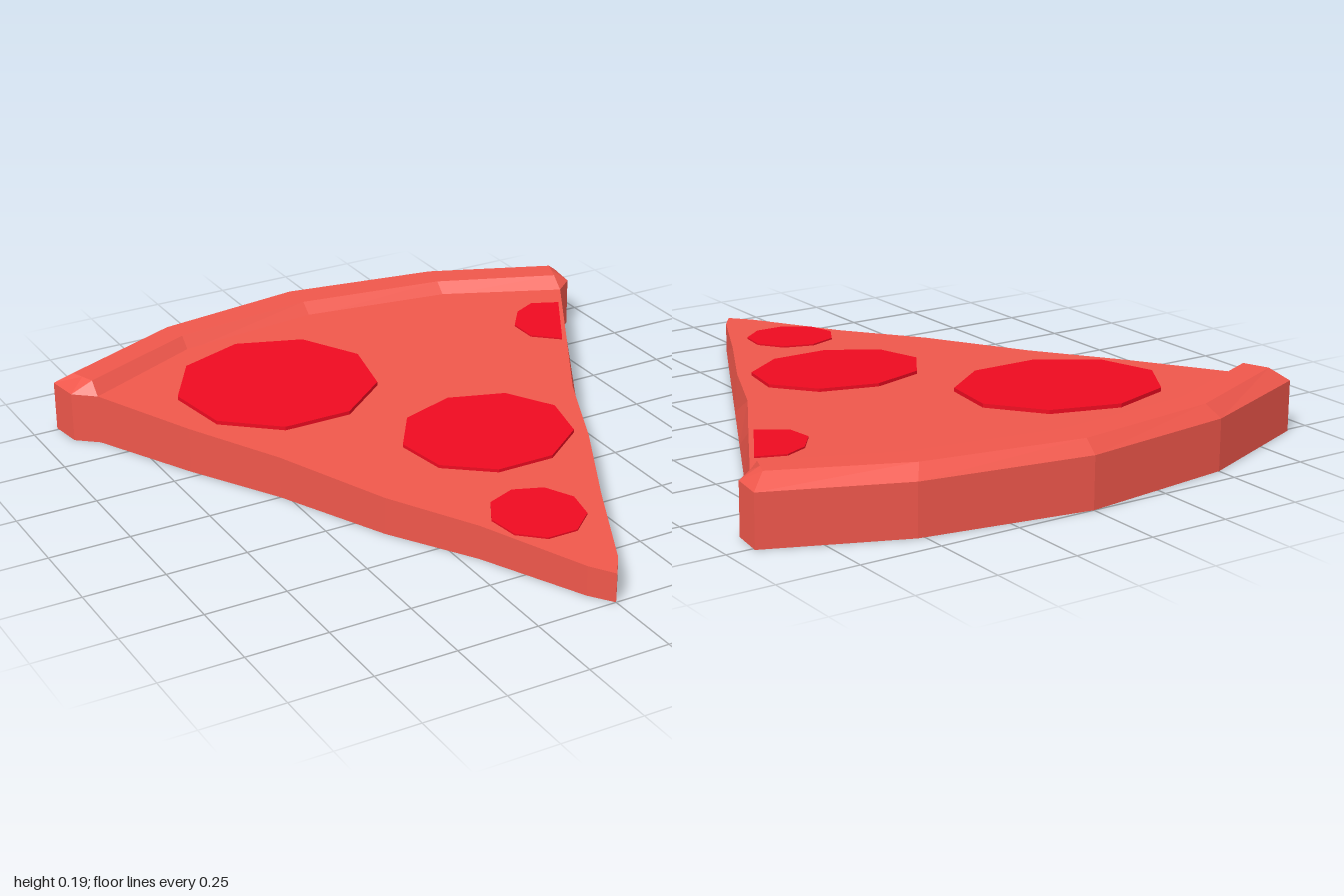
import * as THREE from 'three';

const doughMat = new THREE.MeshStandardMaterial({ color: 0xef574b, flatShading: true });
const toppingMat = new THREE.MeshStandardMaterial({ color: 0xee0a20, flatShading: true });

// Height of the gently sloping slice surface
const surfaceY = (z) => 0.132 - 0.042 * z;

// Closed solid from stacked rings of [x, y, z], each counterclockwise from above
function loft(name, rings, material) {
  const pos = [];
  const tri = (a, b, c) => pos.push(...a, ...b, ...c);
  const n = rings[0].length;
  for (let r = 0; r < rings.length - 1; r++) {
    for (let i = 0; i < n; i++) {
      const j = (i + 1) % n, lo = rings[r], hi = rings[r + 1];
      tri(lo[i], lo[j], hi[j]);
      tri(lo[i], hi[j], hi[i]);
    }
  }
  const cap = (ring, up) => {
    const flat = ring.map(([x, , z]) => new THREE.Vector2(x, -z));
    for (const [a, b, c] of THREE.ShapeUtils.triangulateShape(flat, [])) {
      if (up) tri(ring[a], ring[b], ring[c]);
      else tri(ring[a], ring[c], ring[b]);
    }
  };
  cap(rings[0], false);
  cap(rings[rings.length - 1], true);
  const geo = new THREE.BufferGeometry();
  geo.setAttribute('position', new THREE.Float32BufferAttribute(pos, 3));
  geo.computeVertexNormals();
  const mesh = new THREE.Mesh(geo, material);
  mesh.name = name;
  return mesh;
}

const atY = (pts, y) => pts.map(([x, z]) => [x, y, z]);
const onSurface = (pts, lift) => pts.map(([x, z]) => [x, surfaceY(z) + lift, z]);

export function createModel() {
  const group = new THREE.Group();
  group.name = 'pizzaSlice';

  // Wedge: left edge to the tip, right edge back, then along the crust
  const left = [[-0.84, -0.6], [-0.68, -0.28], [-0.52, 0], [-0.36, 0.35], [-0.2, 0.61], [-0.05, 0.93]];
  const right = [[0, 1], [0.05, 0.93], [0.2, 0.62], [0.36, 0.31], [0.49, 0.02], [0.66, -0.28], [0.84, -0.6]];
  const back = [[0.47, -0.75], [0, -0.815], [-0.46, -0.77]];
  // The lower right edge runs straight, a little outside the top edge
  const rightLow = right.map(([x, z], i) =>
    i < 2 ? [x, z] : [0.84 - 0.516 * (z + 0.6), z]);
  group.add(loft('slice', [
    atY([...left, ...rightLow, ...back], 0),
    onSurface([...left, ...right, ...back], 0),
  ], doughMat));

  // Crust: outer line right to left, left end, inner line left to right, right end
  const crustFoot = [
    [0.92, -0.76], [0.52, -0.92], [0, -1], [-0.5, -0.935], [-0.92, -0.76], [-0.905, -0.655],
    [-0.84, -0.6], [-0.46, -0.77], [0, -0.815], [0.47, -0.75], [0.84, -0.6], [0.905, -0.655],
  ];
  const crustTop = [
    [0.87, -0.72], [0.49, -0.88], [0, -0.96], [-0.475, -0.895], [-0.87, -0.72], [-0.855, -0.68],
    [-0.84, -0.64], [-0.46, -0.81], [0, -0.86], [0.47, -0.79], [0.84, -0.64], [0.855, -0.68],
  ];
  group.add(loft('crust', [atY(crustFoot, 0), atY(crustFoot, 0.157), atY(crustTop, 0.195)], doughMat));

  // Nine-sided sausage discs lying on the surface: x, z, radius x, radius z, thickness
  const discs = [
    ['largePepperoni', -0.32, -0.416, 0.317, 0.294, 0.012],
    ['mediumPepperoni', 0.097, 0.155, 0.27, 0.235, 0.01],
    ['smallPepperoni', -0.02, 0.627, 0.14, 0.142, 0.005],
  ];
  for (const [name, cx, cz, rx, rz, lift] of discs) {
    const pts = Array.from({ length: 9 }, (_, i) => {
      const a = (i / 9) * Math.PI * 2;
      return [cx - rx * Math.sin(a), cz - rz * Math.cos(a)];
    });
    group.add(loft(name, [onSurface(pts, -0.01), onSurface(pts, lift)], toppingMat));
  }

  // Disc cut off by the right edge of the slice
  const cut = [[0.775, -0.51], [0.69, -0.545], [0.615, -0.51], [0.555, -0.43], [0.56, -0.34], [0.64, -0.275]];
  group.add(loft('cutPepperoni', [onSurface(cut, -0.01), onSurface(cut, 0.005)], toppingMat));

  return group;
}
